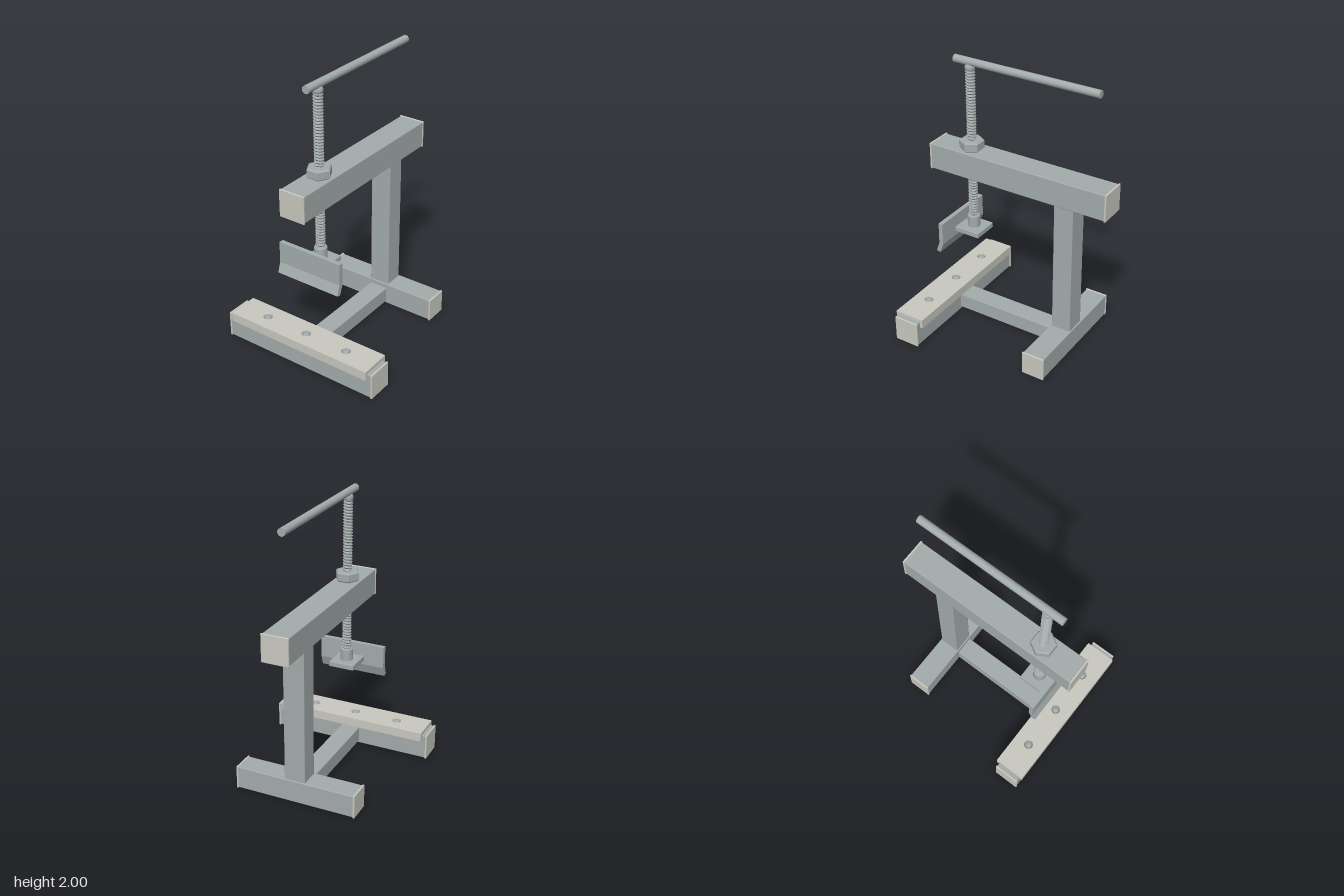
import * as THREE from 'three';
import { RoundedBoxGeometry } from 'three/addons/geometries/RoundedBoxGeometry.js';

const steel = new THREE.MeshStandardMaterial({ color: 0xa3abab });
const pale = new THREE.MeshStandardMaterial({ color: 0xc8c8bf });
const threadSteel = new THREE.MeshStandardMaterial({ color: 0xa3abab, flatShading: true });

export function createModel() {
  const model = new THREE.Group();

  const add = (name, geometry, material, x = 0, y = 0, z = 0, parent = model) => {
    const mesh = new THREE.Mesh(geometry, material);
    mesh.name = name;
    mesh.position.set(x, y, z);
    parent.add(mesh);
    return mesh;
  };

  // Box given by its lower and upper corners
  const block = (name, lo, hi, material, radius = 0.006, parent = model) => {
    const s = hi.map((v, i) => v - lo[i]);
    const c = hi.map((v, i) => (v + lo[i]) / 2);
    return add(name, new RoundedBoxGeometry(...s, 2, radius), material, ...c, parent);
  };

  // Square tube lying along one axis, closed by a slightly larger cap at each end
  const cappedBeam = (name, lo, hi, axis) => {
    const group = new THREE.Group();
    group.name = name;
    model.add(group);
    const cap = 0.014, lip = 0.004;
    const a = lo.map((v, i) => (i === axis ? v + cap / 2 : v + lip));
    const b = hi.map((v, i) => (i === axis ? v - cap / 2 : v - lip));
    block('tube', a, b, steel, 0.006, group);
    for (const end of [0, 1]) {
      const p = [...lo], q = [...hi];
      if (end) p[axis] = hi[axis] - cap; else q[axis] = lo[axis] + cap;
      block('endCap', p, q, pale, 0.004, group);
    }
  };

  // Welded frame
  cappedBeam('frontFoot', [-0.61, 0, 0.485], [0.61, 0.19, 0.675], 0);
  cappedBeam('rearFoot', [-0.45, 0, -0.455], [0.45, 0.172, -0.285], 0);
  cappedBeam('topBeam', [-0.098, 1.146, -0.69], [0.098, 1.343, 0.69], 2);
  block('baseRail', [-0.07, 0.02, -0.29], [0.07, 0.135, 0.495], steel);
  block('post', [-0.077, 0.16, -0.442], [0.077, 1.155, -0.298], steel);

  // Jaw pad: a channel over the front foot with three fixing holes
  const pad = new THREE.Group();
  pad.name = 'jawPad';
  model.add(pad);
  const fixings = [-0.335, 0, 0.335];
  const top = new THREE.Shape([[-0.57, -0.113], [0.57, -0.113], [0.57, 0.113], [-0.57, 0.113]]
    .map(([x, y]) => new THREE.Vector2(x, y)));
  for (const x of fixings) top.holes.push(new THREE.Path().absarc(x, 0, 0.033, 0, Math.PI * 2, true));
  const topGeometry = new THREE.ExtrudeGeometry(top, { depth: 0.024, bevelEnabled: false, curveSegments: 24 });
  topGeometry.rotateX(-Math.PI / 2);
  add('padTop', topGeometry, pale, 0, 0.188, 0.578, pad);
  block('padFrontLip', [-0.57, 0.145, 0.672], [0.57, 0.19, 0.691], pale, 0.001, pad);
  block('padRearLip', [-0.57, 0.145, 0.465], [0.57, 0.19, 0.487], pale, 0.001, pad);

  // Domed screw heads in countersunk seats
  const headProfile = [[0.034, 0.022], [0.024, 0.006], [0.024, 0.018], [0.02, 0.025], [0.011, 0.029], [0, 0.03]]
    .map(([r, y]) => new THREE.Vector2(r, y));
  const headMaterial = threadSteel.clone();
  headMaterial.side = THREE.DoubleSide;
  for (const x of fixings)
    add('padScrew', new THREE.LatheGeometry(headProfile, 24), headMaterial, x, 0.187, 0.578, pad);

  // Clamp spindle assembly
  const spindle = new THREE.Group();
  spindle.name = 'spindle';
  spindle.position.z = 0.4;
  model.add(spindle);

  // Thread: cylinder whose radius follows a helical triangle wave
  const bottom = 0.79, length = 1.15, pitch = 0.021;
  const thread = new THREE.CylinderGeometry(1, 1, length, 24, Math.round(length / pitch) * 4);
  const pos = thread.attributes.position;
  const v = new THREE.Vector3();
  for (let i = 0; i < pos.count; i++) {
    v.fromBufferAttribute(pos, i);
    if (Math.hypot(v.x, v.z) < 0.5) continue;
    const phase = v.y / pitch + Math.atan2(v.x, v.z) / (Math.PI * 2) + 100;
    const wave = Math.abs((phase % 1) * 2 - 1);
    const r = 0.026 + 0.009 * wave;
    pos.setXYZ(i, v.x * r, v.y, v.z * r);
  }
  thread.computeVertexNormals();
  add('threadedRod', thread, threadSteel, 0, bottom + length / 2, 0, spindle);
  add('rodTip', new THREE.SphereGeometry(0.035, 24, 16), steel, 0, 1.935, 0, spindle);

  // Hexagonal nut with chamfered rims, points towards the sides
  const hexMaterial = threadSteel;
  const nutProfile = [[0.03, 0], [0.076, 0], [0.087, 0.009], [0.087, 0.061], [0.076, 0.07], [0.03, 0.07], [0.03, 0]]
    .map(([r, y]) => new THREE.Vector2(r, y));
  const nut = add('nut', new THREE.LatheGeometry(nutProfile, 6), hexMaterial, 0, 1.341, 0, spindle);
  nut.rotation.y = Math.PI / 2;

  // Turning handle
  const handle = add('handle', new THREE.CylinderGeometry(0.027, 0.027, 1.094, 24), steel, 0, 1.973, -0.427, spindle);
  handle.rotation.x = Math.PI / 2;

  // Swivel socket and foot plate
  const socketProfile = [[0, 0], [0.045, 0], [0.045, 0.083], [0.04, 0.09], [0, 0.09]]
    .map(([r, y]) => new THREE.Vector2(r, y));
  add('socket', new THREE.LatheGeometry(socketProfile, 28), threadSteel, 0, 0.73, 0, spindle);
  block('footPlate', [-0.095, 0.692, -0.097], [0.095, 0.73, 0.1], steel, 0.004, spindle);

  // Bent pressing blade, extruded across x from its side profile (z, y)
  const blade = new THREE.Shape([[0.495, 0.824], [0.495, 0.662], [0.523, 0.588], [0.553, 0.597], [0.528, 0.668], [0.528, 0.824]]
    .map(([z, y]) => new THREE.Vector2(-z, y)));
  const bladeGeometry = new THREE.ExtrudeGeometry(blade, { depth: 0.496, bevelEnabled: false });
  bladeGeometry.translate(0, 0, -0.248).rotateY(Math.PI / 2);
  add('pressingBlade', bladeGeometry, steel);

  return model;
}
